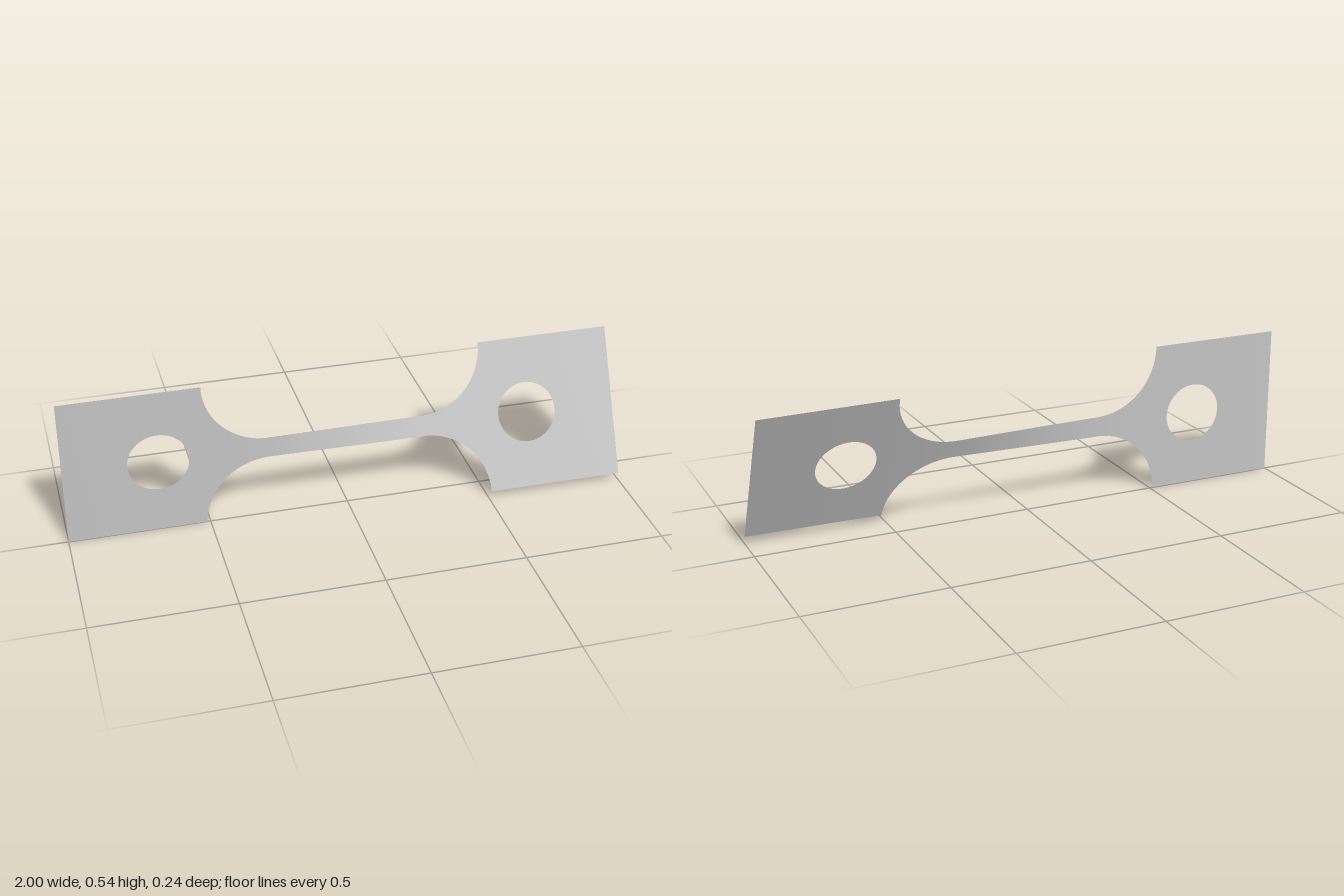
import * as THREE from 'three';
import { mergeGeometries, mergeVertices } from 'three/addons/utils/BufferGeometryUtils.js';

const H = 0.271;          // half height of the grips
const CY = 0.271;         // height of the long axis
const GRIP = 0.511;       // |x| where the grips end
const FILLET = 0.234;     // fillet radius into the neck
const HOLE_X = 0.67, HOLE_R = 0.1075;
const WIDTH = 2;

// Twist angle (degrees) along the bar: nearly all of it happens in the neck
const TWIST = [[-1, 0], [-0.51, 0.3], [-0.36, 1], [-0.25, 3], [0.25, 22.2], [0.36, 23.6], [0.51, 24.3], [1, 25.7]];
function twist(x) {
  let i = 0;
  while (i < TWIST.length - 2 && x > TWIST[i + 1][0]) i++;
  const [x0, a0] = TWIST[i], [x1, a1] = TWIST[i + 1];
  return THREE.MathUtils.degToRad(a0 + (a1 - a0) * (x - x0) / (x1 - x0));
}

// Sheet patch: columns are [x, low, high] triples, twisted about the long axis
function patch(columns, rows = 10) {
  const geo = new THREE.PlaneGeometry(1, 1, columns.length - 1, rows);
  const pos = geo.attributes.position;
  for (let i = 0; i < pos.count; i++) {
    const [x, lo, hi] = columns[i % columns.length];
    const row = Math.floor(i / columns.length);
    const t = hi + (lo - hi) * row / rows;
    const a = twist(x);
    pos.setXYZ(i, x, CY + t * Math.cos(a), -t * Math.sin(a));
  }
  geo.deleteAttribute('uv');
  geo.deleteAttribute('normal');
  return geo;
}

// n + 1 columns from a function of 0..1
const span = (n, fn) => Array.from({ length: n + 1 }, (_, i) => fn(i / n));
const even = (x0, x1, n) => span(n, (u) => [x0 + (x1 - x0) * u, -H, H]);

function sheet(patches) {
  const geo = mergeVertices(mergeGeometries(patches), 1e-5);
  geo.computeVertexNormals();
  return geo;
}

// Square grip with a round hole, split above and below the hole
function gripGeometry(side) {
  const cx = side * HOLE_X;
  const [x0, x1] = side < 0 ? [-WIDTH / 2, -GRIP] : [GRIP, WIDTH / 2];
  const arc = span(32, (u) => [cx - HOLE_R * Math.cos(Math.PI * u), HOLE_R * Math.sin(Math.PI * u)]);
  return sheet([
    patch(even(x0, cx - HOLE_R, 6)),
    patch(arc.map(([x, c]) => [x, c, H])),
    patch(arc.map(([x, c]) => [x, -H, -c])),
    patch(even(cx + HOLE_R, x1, 6)),
  ]);
}

// Concave fillets that narrow a grip to the neck
function filletGeometry(side) {
  const columns = span(24, (u) => {
    const a = u * Math.PI / 2;
    const h = H - FILLET * Math.sin(a);
    return [side * (GRIP - FILLET * (1 - Math.cos(a))), -h, h];
  });
  if (side > 0) columns.reverse();
  return sheet([patch(columns)]);
}

// Slim twisted neck
function neckGeometry() {
  const x = GRIP - FILLET, h = H - FILLET;
  return sheet([patch(span(32, (u) => [-x + 2 * x * u, -h, h]), 6)]);
}

export function createModel() {
  const group = new THREE.Group();
  group.name = 'twistedTestBar';
  const metal = new THREE.MeshStandardMaterial({ color: 0xc4c4c4, side: THREE.DoubleSide });
  metal.name = 'light grey metal';

  const add = (name, geometry) => {
    const mesh = new THREE.Mesh(geometry, metal);
    mesh.name = name;
    group.add(mesh);
  };
  for (const [label, side] of [['right', -1], ['left', 1]]) {
    add(label + 'Grip', gripGeometry(side));
    add(label + 'Fillet', filletGeometry(side));
  }
  add('neck', neckGeometry());
  return group;
}
